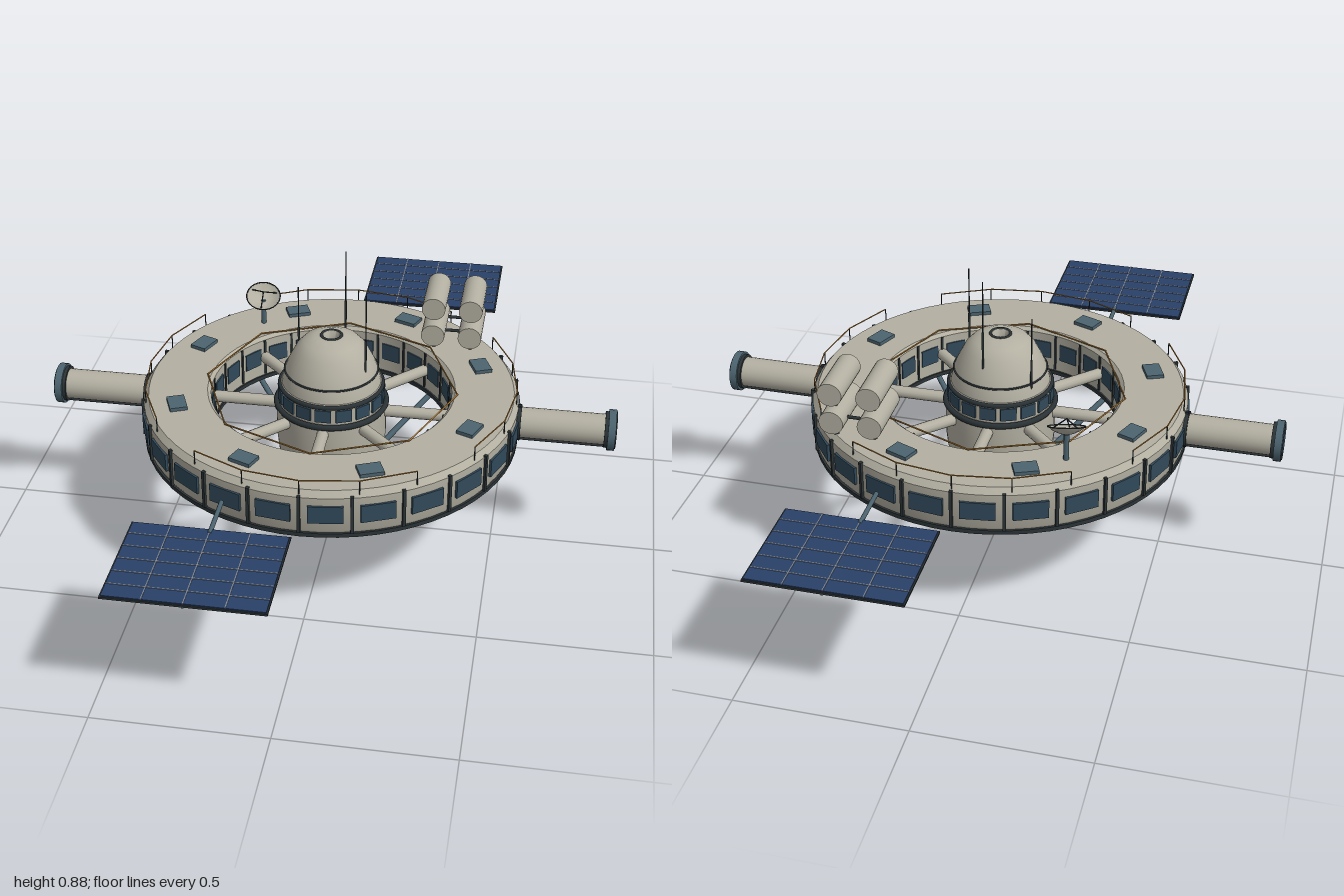
import * as THREE from 'three';
import { toCreasedNormals } from 'three/addons/utils/BufferGeometryUtils.js';

const V = (x, y, z) => new THREE.Vector3(x, y, z);
const mat = (name, color, side = THREE.FrontSide) => {
  const m = new THREE.MeshStandardMaterial({ color, side });
  m.name = name;
  return m;
};

export function createModel() {
  const root = new THREE.Group();
  root.name = 'spaceStation';
  const hull = mat('hull', 0xb3b0a2, THREE.DoubleSide);
  const dark = mat('darkMetal', 0x2b3336);
  const steel = mat('steelBlue', 0x4c6470);
  const glass = mat('glass', 0x31495a);
  const solar = mat('solarCells', 0x2a4068);
  const orange = mat('orangeRail', 0xb07a32);
  const line = mat('panelLines', 0x858d98);

  const add = (name, geo, m, parent = root, x = 0, y = 0, z = 0) => {
    const mesh = new THREE.Mesh(geo, m);
    mesh.name = name;
    mesh.position.set(x, y, z);
    parent.add(mesh);
    return mesh;
  };
  const group = (name, parent = root) => {
    const g = new THREE.Group();
    g.name = name;
    parent.add(g);
    return g;
  };
  const lathe = (pts, n) => toCreasedNormals(
    new THREE.LatheGeometry(pts.map(p => new THREE.Vector2(p[0], p[1])), n), 0.6);
  const rod = (name, a, b, r, m, parent = root, sides = 8) => {
    const mesh = add(name, new THREE.CylinderGeometry(r, r, a.distanceTo(b), sides), m, parent);
    mesh.position.copy(a).add(b).multiplyScalar(0.5);
    mesh.quaternion.setFromUnitVectors(V(0, 1, 0), b.clone().sub(a).normalize());
    return mesh;
  };
  const hoop = (name, R, r, y, m, sides = 64, parent = root) => {
    const t = add(name, new THREE.TorusGeometry(R, r, 6, sides), m, parent, 0, y, 0);
    t.rotation.x = Math.PI / 2;
    return t;
  };
  // Repeat a box around the y axis, facing outward
  const around = (name, n, R, y, size, m, offset = 0) => {
    const geo = new THREE.BoxGeometry(...size), g = group(name + 's');
    for (let i = 0; i < n; i++) {
      const a = (i + offset) / n * Math.PI * 2;
      add(name, geo, m, g, Math.sin(a) * R, y, Math.cos(a) * R).rotation.y = a;
    }
  };

  // Habitat ring
  add('habitatRing', lathe([[0.36, 0.355], [0.555, 0.355], [0.56, 0.365], [0.56, 0.472],
    [0.545, 0.49], [0.37, 0.49], [0.36, 0.48], [0.36, 0.355]], 64), hull);
  add('ringUnderside', lathe([[0.355, 0.343], [0.562, 0.343], [0.562, 0.356],
    [0.355, 0.356], [0.355, 0.343]], 64), dark);
  around('outerRib', 24, 0.562, 0.418, [0.009, 0.12, 0.01], dark);
  around('outerWindow', 24, 0.561, 0.42, [0.1, 0.055, 0.008], glass, 0.5);
  around('innerWindow', 24, 0.359, 0.425, [0.062, 0.055, 0.008], glass, 0.5);
  around('innerRib', 24, 0.36, 0.42, [0.007, 0.12, 0.008], dark);
  around('roofHatch', 8, 0.466, 0.494, [0.07, 0.014, 0.052], steel, 0.5);
  hoop('lowerTruss', 0.468, 0.005, 0.316, dark, 8);

  // Hand rails on the roof, in four arcs with posts
  const rails = group('handRails');
  for (let k = 0; k < 4; k++) {
    const mid = k * Math.PI / 2, pts = [];
    for (let i = -2; i <= 2; i++) {
      const a = mid + i * 0.3;
      pts.push(V(Math.sin(a) * 0.553, 0.523, Math.cos(a) * 0.553));
    }
    pts.forEach((p, i) => {
      rod('railPost', p.clone().setY(0.475), p, 0.0018, dark, rails, 5);
      if (i) rod('railBar', pts[i - 1], p, 0.002, orange, rails, 5);
    });
  }
  hoop('innerRail', 0.378, 0.0025, 0.496, orange, 8, rails);

  // Central hub, a hollow turned body
  add('hub', lathe([[0.025, 0.004], [0.062, 0], [0.068, 0.012], [0.068, 0.1], [0.08, 0.125],
    [0.108, 0.155], [0.128, 0.19], [0.148, 0.24], [0.16, 0.29], [0.165, 0.34], [0.165, 0.44],
    [0.155, 0.45], [0.155, 0.51], [0.148, 0.515], [0.142, 0.545], [0.128, 0.58], [0.105, 0.625],
    [0.082, 0.65], [0.05, 0.664], [0.025, 0.666], [0.018, 0.65], [0.018, 0.02], [0.025, 0.004]], 40), hull);
  hoop('hubCollarLow', 0.164, 0.009, 0.445, dark);
  hoop('hubCollarHigh', 0.153, 0.007, 0.507, dark);
  hoop('domeBand', 0.139, 0.003, 0.555, dark);
  hoop('domeRim', 0.03, 0.005, 0.664, dark, 24);
  hoop('nozzleBand', 0.067, 0.004, 0.026, dark, 32);
  hoop('flareBand', 0.107, 0.003, 0.155, dark, 40);
  around('hubWindow', 16, 0.155, 0.479, [0.048, 0.04, 0.008], glass);

  // Spokes and slanted braces
  for (let i = 0; i < 8; i++) {
    const a = i * Math.PI / 4, s = Math.sin(a), c = Math.cos(a);
    rod('spoke', V(s * 0.15, 0.42, c * 0.15), V(s * 0.365, 0.42, c * 0.365), 0.018, hull, root, 12);
    rod('brace', V(s * 0.105, 0.155, c * 0.105), V(s * 0.42, 0.345, c * 0.42), 0.009, steel);
  }

  // Docking arms on both sides
  for (const s of [1, -1]) {
    const arm = group(s > 0 ? 'leftDockingArm' : 'rightDockingArm');
    const tube = (name, x0, x1, r, m) =>
      rod(name, V(s * x0, 0.42, 0), V(s * x1, 0.42, 0), r, m, arm, 24);
    tube('armTube', 0.54, 0.83, 0.046, hull);
    tube('armRootCollar', 0.555, 0.57, 0.053, dark);
    tube('dockingCollar', 0.825, 0.847, 0.061, steel);
    tube('collarSeal', 0.815, 0.826, 0.054, dark);
    tube('dockingHatch', 0.846, 0.85, 0.043, glass);
    const rim = add('dockingRim', new THREE.TorusGeometry(0.052, 0.006, 6, 24), dark, arm, s * 0.845, 0.42, 0);
    rim.rotation.y = Math.PI / 2;
    rod('armPipe', V(s * 0.55, 0.364, 0), V(s * 0.83, 0.364, 0), 0.005, dark, arm);
  }

  // Solar wings, one at the front and one at the back
  for (const s of [1, -1]) {
    const wing = group(s > 0 ? 'frontSolarWing' : 'backSolarWing');
    wing.rotation.y = s > 0 ? 0 : Math.PI;
    rod('wingBoom', V(-0.22, 0.418, 0.54), V(-0.22, 0.418, 0.69), 0.007, steel, wing);
    add('wingBack', new THREE.BoxGeometry(0.44, 0.006, 0.33), dark, wing, -0.22, 0.416, 0.835);
    add('wingCells', new THREE.BoxGeometry(0.432, 0.004, 0.322), solar, wing, -0.22, 0.42, 0.835);
    for (let i = 1; i < 4; i++)
      add('cellColumnLine', new THREE.BoxGeometry(0.003, 0.002, 0.322), line, wing, -0.44 + i * 0.11, 0.4225, 0.835);
    for (let i = 1; i < 6; i++)
      add('cellRowLine', new THREE.BoxGeometry(0.432, 0.002, 0.003), line, wing, -0.22, 0.4225, 0.67 + i * 0.055);
    add('wingSpine', new THREE.BoxGeometry(0.006, 0.004, 0.33), steel, wing, -0.22, 0.412, 0.835);
  }

  // Storage tanks on the roof
  const tanks = group('tankCluster');
  for (const x of [0.275, 0.388]) {
    for (const y of [0.549, 0.641])
      rod('tank', V(x, y, -0.42), V(x, y, -0.245), 0.036, hull, tanks, 24);
    for (const z of [-0.375, -0.29])
      rod('tankPost', V(x, 0.48, z), V(x, 0.63, z), 0.008, dark, tanks);
  }
  for (const z of [-0.375, -0.29])
    rod('tankTie', V(0.275, 0.549, z), V(0.388, 0.549, z), 0.005, dark, tanks);

  // Dish antenna tipped toward the front
  rod('dishMast', V(-0.275, 0.485, -0.35), V(-0.275, 0.572, -0.35), 0.008, steel);
  const dish = group('dishAntenna');
  dish.position.set(-0.275, 0.57, -0.35);
  dish.rotation.set(0.45, 0, -0.1);
  add('dishBowl', lathe([[0.001, 0], [0.02, 0.003], [0.038, 0.011], [0.053, 0.023]], 24), hull, dish);
  hoop('dishRim', 0.053, 0.002, 0.023, dark, 24, dish);
  for (let i = 0; i < 3; i++) {
    const a = i * Math.PI * 2 / 3;
    rod('feedLeg', V(Math.sin(a) * 0.045, 0.017, Math.cos(a) * 0.045), V(0, 0.045, 0), 0.002, dark, dish, 5);
  }

  // Whip antennas
  for (const [x, z, y0, y1] of [[-0.113, -0.083, 0.5, 0.77], [0.025, -0.11, 0.56, 0.885], [0.11, 0.057, 0.54, 0.835]]) {
    rod('antennaLower', V(x, y0, z), V(x, (y0 + y1) / 2, z), 0.0035, dark, root, 6);
    rod('antennaUpper', V(x, (y0 + y1) / 2, z), V(x, y1, z), 0.002, dark, root, 6);
  }
  return root;
}
